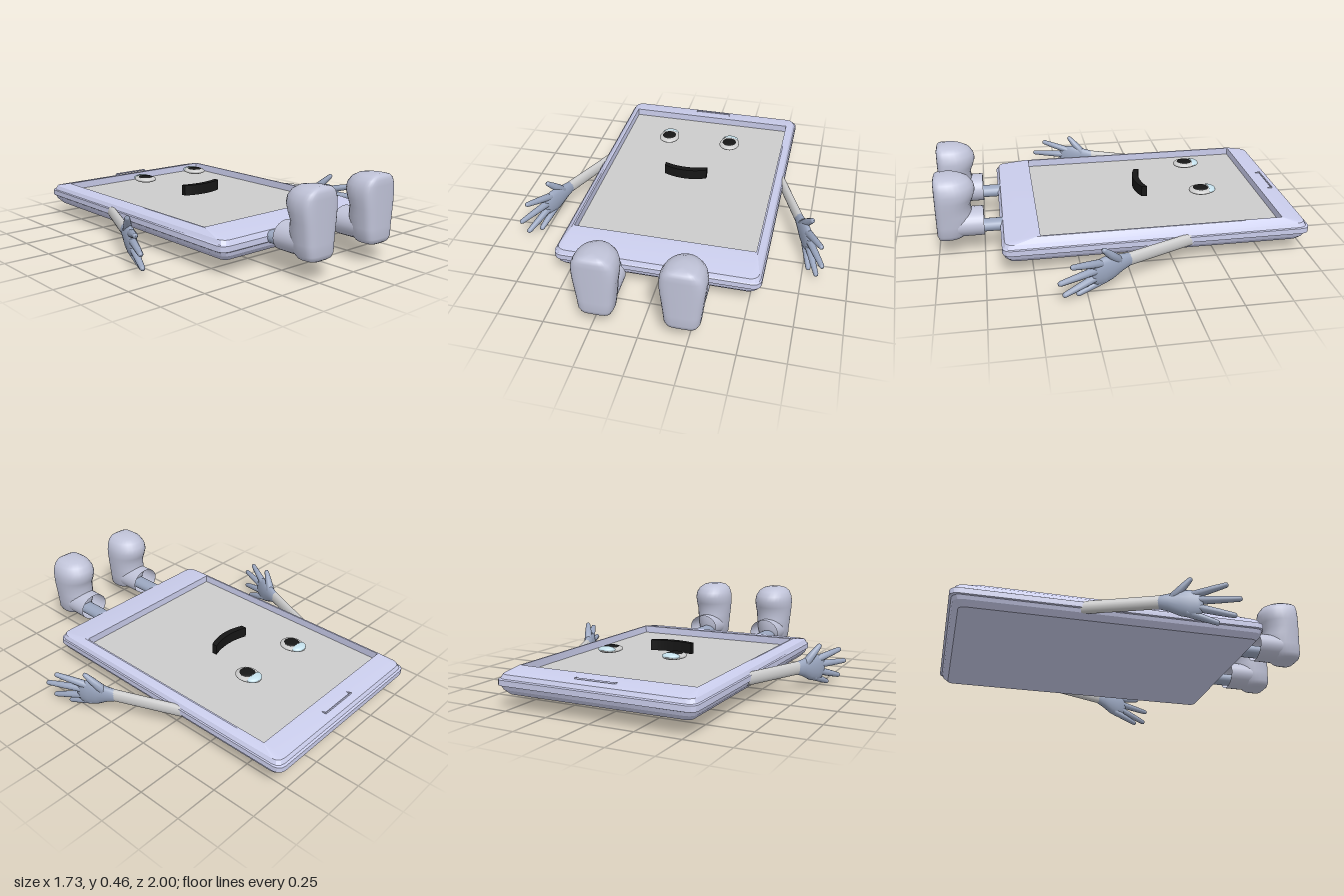
import * as THREE from 'three';
import { toCreasedNormals } from 'three/addons/utils/BufferGeometryUtils.js';

const mat = (color, opts = {}) => new THREE.MeshStandardMaterial({ color, ...opts });
const shell = mat(0xcacdec), grey = mat(0xcccccc), black = mat(0x161616);
const handMat = mat(0x9aa6bf), legMat = mat(0x9aa6bf);
const shoeMat = mat(0xc0c3d8, { side: THREE.DoubleSide });
const lidMat = mat(0xc4dfea, { side: THREE.DoubleSide });

function add(parent, name, geo, material) {
  const m = new THREE.Mesh(geo, material);
  m.name = name;
  parent.add(m);
  return m;
}

// Skin a list of rings (counter-clockwise about the travel direction), capping both ends
function loft(rings, crease) {
  const n = rings[0].length, pos = rings.flat(2), idx = [];
  const centre = ring => [0, 1, 2].map(k => ring.reduce((s, p) => s + p[k], 0) / n);
  for (let i = 0; i < rings.length - 1; i++) {
    for (let j = 0; j < n; j++) {
      const k = (j + 1) % n, a = i * n + j, b = i * n + k;
      idx.push(a, b, b + n, a, b + n, a + n);
    }
  }
  const first = rings.length * n, last = (rings.length - 1) * n;
  pos.push(...centre(rings[0]), ...centre(rings[rings.length - 1]));
  for (let j = 0; j < n; j++) {
    const k = (j + 1) % n;
    idx.push(first, k, j, first + 1, last + j, last + k);
  }
  const g = new THREE.BufferGeometry();
  g.setAttribute('position', new THREE.Float32BufferAttribute(pos, 3));
  g.setIndex(idx);
  return toCreasedNormals(g, crease);
}

// Rounded rectangle lying at height y
function plate(y, hx, z0, z1, r) {
  const corners = [[hx - r, z1 - r], [hx - r, z0 + r], [-hx + r, z0 + r], [-hx + r, z1 - r]];
  return corners.flatMap(([x, z], c) => [0, 1, 2, 3].map(k => {
    const t = (c + k / 3) * Math.PI / 2;
    return [x + r * Math.sin(t), y, z + r * Math.cos(t)];
  }));
}

// Tapered round-ended rod between two points
function rod(a, b, r0, r1) {
  const A = new THREE.Vector3(...a), B = new THREE.Vector3(...b), len = A.distanceTo(B);
  const pts = [[0, 0], [r0, 0.001], [(r0 + r1) / 2, len * 0.55], [r1, len - r1],
    [r1 * 0.7, len - r1 * 0.3], [0, len]].map(p => new THREE.Vector2(...p));
  const g = new THREE.LatheGeometry(pts, 12);
  const q = new THREE.Quaternion().setFromUnitVectors(new THREE.Vector3(0, 1, 0), B.sub(A).normalize());
  return g.applyQuaternion(q).translate(...a);
}

function buildBody(root) {
  const body = new THREE.Group();
  body.name = 'body';
  // Bottom bevel, side bead, sloped bezel, then down into the screen recess
  const rings = [
    [0.08, 0.52, -0.95, 0.625, 0.03], [0.108, 0.548, -0.98, 0.65, 0.045],
    [0.128, 0.556, -0.988, 0.655, 0.045], [0.132, 0.563, -1, 0.66, 0.045],
    [0.162, 0.563, -1, 0.66, 0.045], [0.166, 0.556, -0.988, 0.655, 0.045],
    [0.188, 0.546, -0.978, 0.645, 0.045], [0.213, 0.515, -0.865, 0.485, 0.01],
    [0.213, 0.506, -0.853, 0.458, 0.002], [0.165, 0.506, -0.853, 0.458, 0.002],
  ].map(p => plate(...p));
  add(body, 'casing', loft(rings, 0.3), shell);
  add(body, 'screen', new THREE.BoxGeometry(1.008, 0.01, 1.308), grey).position.set(0, 0.167, -0.1975);

  // Speaker slot: thin raised rim following the bezel slope
  const rim = new THREE.Shape([[-0.114, -0.022], [0.114, -0.022], [0.114, 0.022], [-0.114, 0.022]]
    .map(p => new THREE.Vector2(...p)));
  rim.holes.push(new THREE.Path([[-0.108, -0.016], [-0.108, 0.016], [0.108, 0.016], [0.108, -0.016]]
    .map(p => new THREE.Vector2(...p))));
  const slot = add(body, 'speakerSlot', new THREE.ExtrudeGeometry(rim, { depth: 0.008, bevelEnabled: false }), shell);
  slot.position.set(0, 0.197, -0.92);
  slot.rotation.x = -Math.PI / 2 + 0.218;
  root.add(body);
}

function buildFace(root) {
  const face = new THREE.Group();
  face.name = 'face';
  for (const x of [-0.196, 0.19]) {
    const eye = new THREE.Group();
    eye.name = 'eye';
    eye.position.set(x, 0.26, -0.49);
    // Egg-shaped eyeball, narrower and thinner toward the brow
    const ball = new THREE.SphereGeometry(1, 28, 16);
    const p = ball.attributes.position;
    for (let i = 0; i < p.count; i++) {
      const k = 1 + 0.14 * p.getZ(i);
      p.setXYZ(i, p.getX(i) * 0.06 * k, p.getY(i) * 0.018 * k, p.getZ(i) * 0.077);
    }
    ball.computeVertexNormals();
    add(eye, 'eyeball', ball, grey);
    add(eye, 'pupil', new THREE.SphereGeometry(1, 28, 12).scale(0.042, 0.009, 0.046), black)
      .position.set(0, 0.012, 0.01);
    add(eye, 'eyelid', new THREE.SphereGeometry(1, 24, 16, Math.PI, Math.PI).scale(0.05, 0.017, 0.044), lidMat)
      .position.set(0, 0.005, -0.03);
    face.add(eye);
  }
  // Curved smile
  const s = new THREE.Shape();
  s.moveTo(-0.145, 0.186);
  s.quadraticCurveTo(-0.017, 0.138, 0.11, 0.186);
  s.lineTo(0.11, 0.155);
  s.quadraticCurveTo(-0.017, 0.098, -0.145, 0.155);
  const smile = new THREE.ExtrudeGeometry(s, { depth: 0.06, bevelEnabled: false, curveSegments: 14 });
  add(face, 'mouth', smile.rotateX(-Math.PI / 2).translate(0, 0.205, 0), black);
  root.add(face);
}

function buildArm(root, side, name) {
  const arm = new THREE.Group();
  arm.name = name;
  arm.position.set(side * 0.69, 0, 0.02);
  arm.rotation.y = side * 0.398;
  const sleeve = new THREE.CylinderGeometry(0.037, 0.035, 0.4, 20).rotateX(Math.PI / 2)
    .scale(0.65, 1, 1).translate(0, 0.14, -0.19);
  add(arm, 'sleeve', sleeve, grey);

  // Flat palm: distance along the hand, centre height, half height, half thickness
  const palm = [[-0.02, 0.14, 0.028, 0.018], [0, 0.14, 0.036, 0.024], [0.05, 0.135, 0.048, 0.027],
    [0.11, 0.126, 0.07, 0.03], [0.16, 0.12, 0.077, 0.029], [0.2, 0.118, 0.068, 0.024],
    [0.225, 0.118, 0.045, 0.014]];
  const rings = palm.map(([z, cy, hy, hx]) => Array.from({ length: 18 }, (_, j) => {
    const t = j / 18 * Math.PI * 2;
    return [hx * Math.cos(t), cy + hy * Math.sin(t), z];
  }));
  add(arm, 'palm', loft(rings, 1.2), handMat);

  // Thumb, then four fanned fingers: base and tip
  const digits = [
    [[0, 0.155, 0.07], [0.02, 0.255, 0.175]], [[0, 0.166, 0.17], [0.017, 0.205, 0.355]],
    [[0, 0.135, 0.19], [0.005, 0.125, 0.42]], [[0, 0.1, 0.18], [-0.01, 0.04, 0.388]],
    [[0, 0.073, 0.14], [-0.026, 0.012, 0.302]],
  ];
  digits.forEach(([a, b], i) => {
    a[0] *= side;
    b[0] *= side;
    add(arm, i ? 'finger' : 'thumb', rod(a, b, i ? 0.022 : 0.026, 0.014), handMat);
  });
  root.add(arm);
}

function buildLeg(root, side, name) {
  const leg = new THREE.Group();
  leg.name = name;
  leg.position.x = side * 0.22;
  const shin = new THREE.CylinderGeometry(0.044, 0.044, 0.26, 20).rotateX(Math.PI / 2)
    .scale(1, 0.78, 1).translate(0, 0.152, 0.75);
  add(leg, 'shin', shin, legMat);
  // Hollow ankle cuff
  const cuff = new THREE.CylinderGeometry(0.093, 0.093, 0.14, 28, 1, true).rotateX(Math.PI / 2)
    .scale(1, 0.84, 1).translate(0, 0.183, 0.815);
  add(leg, 'cuff', cuff, shoeMat);

  // Upturned shoe with flat sole: height, half width, back z, sole z
  const shoe = [[0.105, 0.06, 0.88, 0.985], [0.112, 0.08, 0.85, 0.994], [0.135, 0.093, 0.825, 1],
    [0.19, 0.099, 0.805, 1], [0.25, 0.106, 0.805, 1], [0.295, 0.111, 0.812, 1],
    [0.335, 0.116, 0.795, 1], [0.375, 0.118, 0.782, 1], [0.41, 0.112, 0.788, 1],
    [0.44, 0.096, 0.81, 1], [0.459, 0.07, 0.845, 0.994], [0.468, 0.035, 0.895, 0.975]];
  const rings = shoe.map(([y, w, z0, z1]) => Array.from({ length: 28 }, (_, j) => {
    const t = j / 28 * Math.PI * 2, s = Math.sin(t), c = Math.cos(t);
    const mid = z0 + (z1 - z0) * 0.6;
    const e = c > 0 ? 0.5 : 1; // squarer toward the sole
    return [w * Math.sign(s) * Math.abs(s) ** e, y,
      c > 0 ? mid + (z1 - mid) * c ** e : mid + (mid - z0) * c];
  }));
  add(leg, 'shoe', loft(rings, 0.9), shoeMat);
  root.add(leg);
}

export function createModel() {
  const root = new THREE.Group();
  root.name = 'tabletFigure';
  buildBody(root);
  buildFace(root);
  for (const [side, word] of [[1, 'left'], [-1, 'right']]) {
    buildArm(root, side, word + 'Arm');
    buildLeg(root, side, word + 'Leg');
  }
  return root;
}
